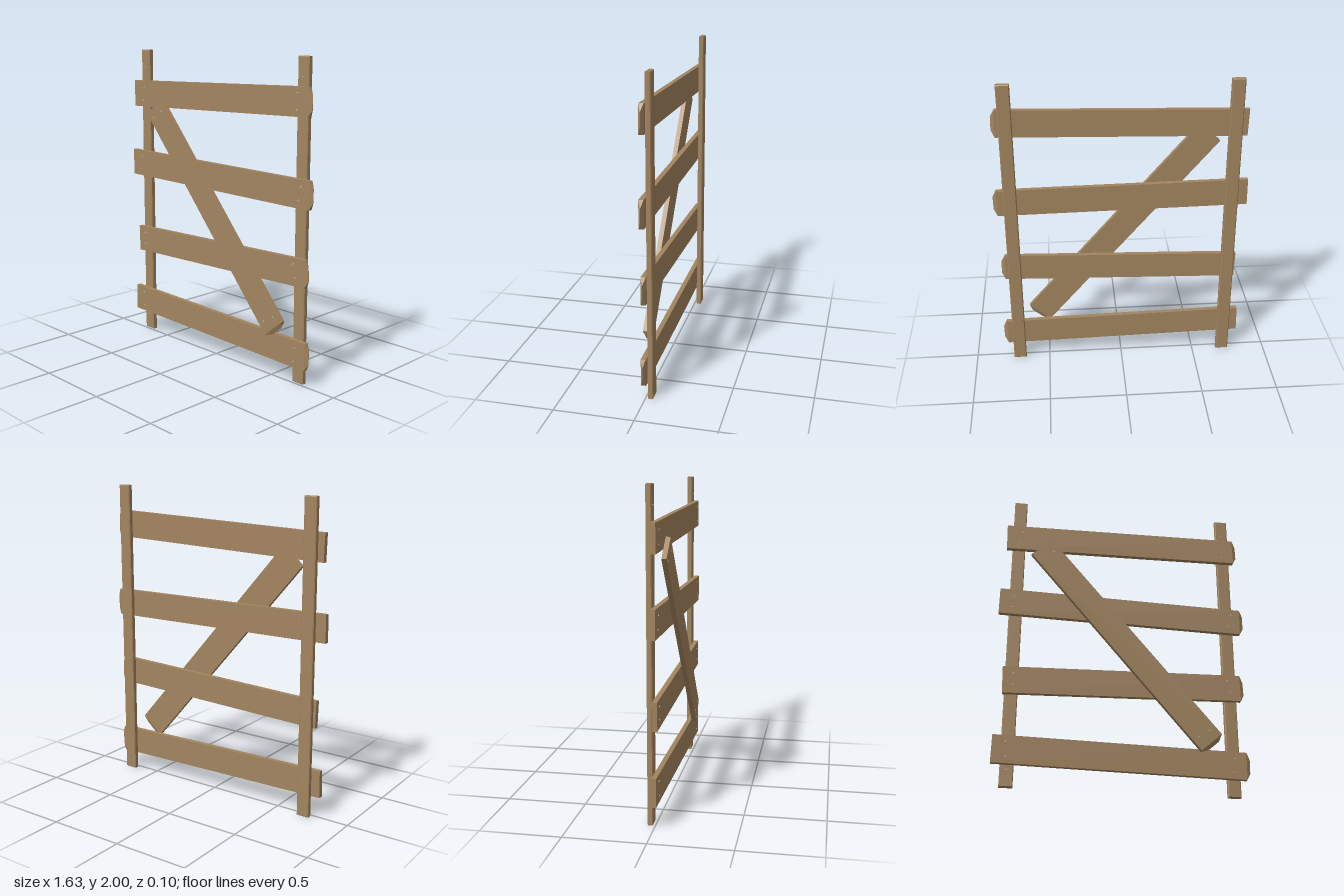
import * as THREE from 'three';

export function createModel() {
  const group = new THREE.Group();
  const wood = new THREE.MeshStandardMaterial({ color: 0xa38560 });
  wood.name = 'weathered wood';
  const steel = new THREE.MeshStandardMaterial({ color: 0xb4b4b4 });
  steel.name = 'nail steel';

  function add(name, geometry, material, x, y, z, angle = 0) {
    const mesh = new THREE.Mesh(geometry, material);
    mesh.name = name;
    mesh.position.set(x, y, z);
    mesh.rotation.z = angle;
    group.add(mesh);
    return mesh;
  }

  // Upright post with chamfered edges
  function postGeometry(w, h, d, b) {
    const x = w / 2 - b, y = h / 2 - b;
    const shape = new THREE.Shape([[-x, -y], [x, -y], [x, y], [-x, y]].map(p => new THREE.Vector2(...p)));
    const geo = new THREE.ExtrudeGeometry(shape, {
      depth: d - 2 * b, bevelEnabled: true, bevelThickness: b, bevelSize: b, bevelSegments: 1,
    });
    return geo.translate(0, 0, b - d / 2);
  }

  // Board with a flat left end and a hewn, wedge-shaped right end
  function boardGeometry(length, height, depth, tip) {
    const geo = new THREE.BoxGeometry(length, height, depth, 2, 1, 1);
    const p = geo.attributes.position;
    for (let i = 0; i < p.count; i++) {
      const x = p.getX(i);
      if (Math.abs(x) < 1e-6) p.setX(i, length / 2);
      else if (x > 0) p.setXYZ(i, length / 2 + tip, p.getY(i) * 0.5, p.getZ(i) * 0.06);
    }
    const flat = geo.toNonIndexed();
    flat.computeVertexNormals();
    return flat;
  }

  // Board running between the middles of its two ends
  function addBoard(name, [x0, y0], [x1, y1], height, zBack, zFront) {
    const length = Math.hypot(x1 - x0, y1 - y0);
    add(name, boardGeometry(length, height, zFront - zBack, 0.024), wood,
      (x0 + x1) / 2, (y0 + y1) / 2, (zBack + zFront) / 2, Math.atan2(y1 - y0, x1 - x0));
  }

  const nailGeo = new THREE.CylinderGeometry(0.005, 0.006, 0.006, 8).rotateX(Math.PI / 2);
  const addNails = (points, z) => points.forEach(([x, y]) => add('nail', nailGeo, steel, x, y, z));

  // Posts
  const postGeo = postGeometry(0.084, 2, 0.034, 0.005);
  add('rightPost', postGeo, wood, -0.708, 1, -0.031);
  add('leftPost', postGeo, wood, 0.703, 1, -0.031);
  addNails([[-0.71, 1.88], [0.7, 1.88], [-0.71, 0.105]], -0.013);

  // Crossboards: left end, right end, nails
  const rails = [
    [[-0.79, 1.702], [0.767, 1.741], [[-0.69, 1.745], [-0.70, 1.66], [0.69, 1.79], [0.685, 1.69]]],
    [[-0.815, 1.22], [0.788, 1.197], [[-0.72, 1.26], [-0.735, 1.18], [0.73, 1.245], [0.712, 1.16]]],
    [[-0.765, 0.673], [0.765, 0.718], [[-0.7, 0.72], [-0.7, 0.64], [0.68, 0.765], [0.695, 0.68]]],
    [[-0.807, 0.225], [0.78, 0.195], [[-0.725, 0.27], [-0.72, 0.18], [0.705, 0.24], [0.695, 0.15]]],
  ];
  for (const [start, end, nails] of rails) {
    addBoard('crossboard', start, end, 0.176, -0.014, 0.017);
    addNails(nails, 0.018);
  }

  // Diagonal brace
  addBoard('diagonalBrace', [-0.557, 1.628], [0.552, 0.33], 0.177, 0.017, 0.047);
  addNails([[-0.56, 1.55], [-0.48, 1.6], [0.47, 0.36], [0.545, 0.405]], 0.047);

  return group;
}
